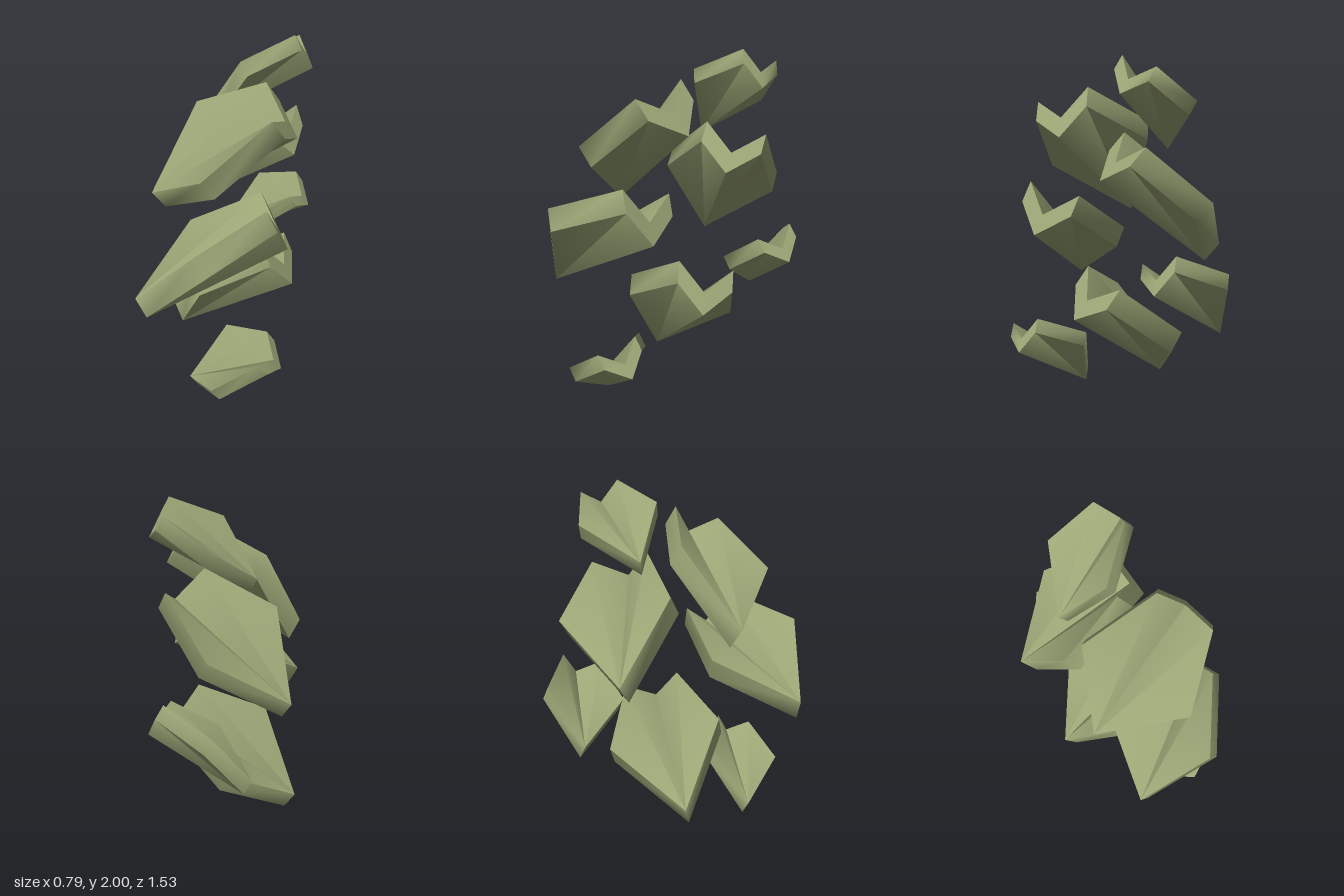
import * as THREE from 'three';
import { toCreasedNormals } from 'three/addons/utils/BufferGeometryUtils.js';

// Outline order: tip, left side, left lobe, notch, right lobe, right side
const smallLeaf = {
  points: [[-0.122, 0, 0.4], [0.08, 0.188, 0.682], [0.333, 0.354, 0.607], [0.392, 0.294, 0.474], [0.336, 0.42, 0.39], [0.07, 0.304, 0.241]],
  thickness: [-0.042, 0.073, 0.02],
};
const largeLeaf = {
  points: [[-0.335, 1.113, 0.2], [0.03, 1.39, 0.53], [0.345, 1.663, 0.34], [0.379, 1.576, 0.13], [0.26, 1.743, 0.035], [-0.14, 1.557, -0.078]],
  thickness: [-0.061, 0.106, 0.043],
};
const turnedLeaf = {
  points: [[-0.335, 0.658, 0.63], [0.03, 1.064, 0.77], [0.342, 1.2, 0.47], [0.381, 1.017, 0.336], [0.26, 1.128, 0.16], [-0.145, 0.9, 0.16]],
  thickness: [-0.061, 0.113, -0.01],
};
const steepLeaf = {
  points: [[-0.31, 0.855, -0.373], [-0.215, 1.3, -0.055], [0.18, 1.506, -0.06], [0.335, 1.35, -0.124], [0.35, 1.437, -0.34], [0.11, 1.15, -0.595]],
  thickness: [-0.05, 0.098, -0.065],
};

// Move a leaf, optionally mirroring it front to back
function place({ points, thickness }, dy, dz, mirror = false) {
  const s = mirror ? -1 : 1;
  const moved = points.map(([x, y, z]) => [x, y + dy, z * s + dz]);
  return {
    points: mirror ? [moved[0], ...moved.slice(1).reverse()] : moved,
    thickness: [thickness[0], thickness[1], thickness[2] * s],
  };
}

// Notched leaf: two sheets fanned from the tip and folded at the notch, plus a rim
function leafGeometry({ points, thickness }) {
  const upper = points.map((p) => p.map((v, i) => v + thickness[i]));
  const positions = [...points, ...upper].flat();
  const index = [];
  for (let i = 1; i < 5; i++) {
    index.push(6, i + 6, i + 7, 0, i + 1, i);
  }
  for (let i = 0; i < 6; i++) {
    const j = (i + 1) % 6;
    index.push(i, j, j + 6, i, j + 6, i + 6);
  }
  const geometry = new THREE.BufferGeometry();
  geometry.setAttribute('position', new THREE.Float32BufferAttribute(positions, 3));
  geometry.setIndex(index);
  return toCreasedNormals(geometry, 1.15);
}

export function createModel() {
  const group = new THREE.Group();
  group.name = 'leafCluster';
  const leafGreen = new THREE.MeshStandardMaterial({ color: 0x9ba676 });
  leafGreen.name = 'leafGreen';

  const leaves = {
    bottomSmallLeaf: smallLeaf,
    lowerLargeLeaf: place(largeLeaf, -1.006, 0.163, true),
    backSmallLeaf: place(smallLeaf, 0.502, -1.006),
    frontLargeLeaf: turnedLeaf,
    backLargeLeaf: steepLeaf,
    upperLargeLeaf: largeLeaf,
    topSmallLeaf: place(smallLeaf, 1.507, 0.165, true),
  };
  for (const [name, leaf] of Object.entries(leaves)) {
    const mesh = new THREE.Mesh(leafGeometry(leaf), leafGreen);
    mesh.name = name;
    group.add(mesh);
  }
  return group;
}
